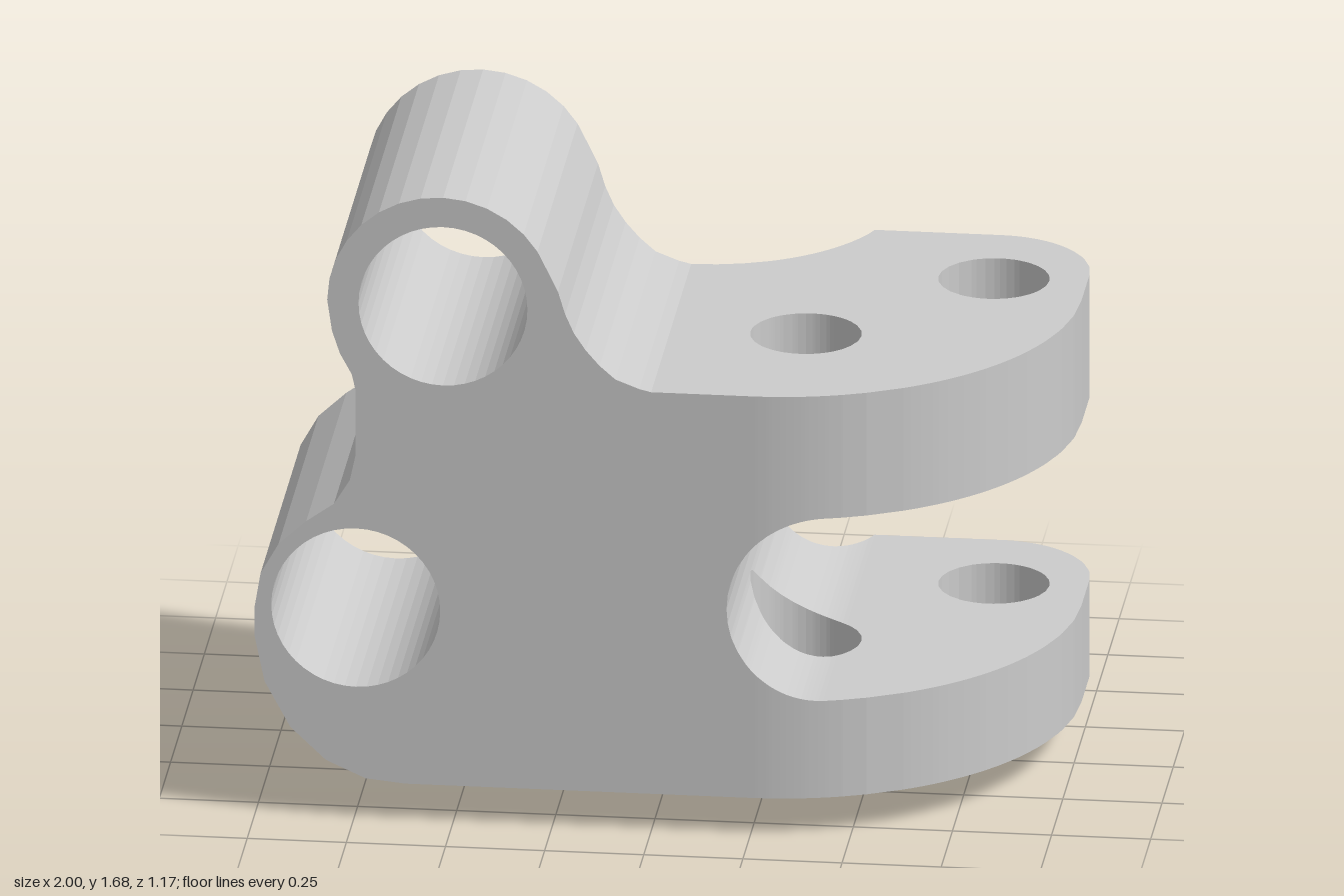
import * as THREE from 'three';

const material = new THREE.MeshStandardMaterial({ color: 0xcccccc, flatShading: true });
const MID = 0.605, SLOT_X = 0.435, SLOT_R = 0.245, BACK = -0.305, FRONT = 0.585;
const pins = [{ x: 0.34, z: 0.14, r: 0.14 }, { x: 0.765, z: -0.29, r: 0.14 }];

// half chord of a circle at distance d from its centre
const chord = (r, d) => Math.sqrt(Math.max(0, r * r - d * d));

// plan outline of the fork, as back and front z at a given x
function backZ(x) {
  if (x < 0.43) return Math.max(-0.59, -0.775 + chord(0.47, x));
  return x < 0.75 ? -0.59 : -0.34 - chord(0.25, x - 0.75);
}
const frontZ = x => x < 0.25 ? FRONT : -0.165 + chord(0.75, x - 0.25);
const slotHalf = x => x <= SLOT_X - SLOT_R ? 0 : x < SLOT_X ? chord(SLOT_R, x - SLOT_X) : SLOT_R;

// x positions where the fork is sliced, following each curve evenly
function stations() {
  const xs = [0, 0.43, 0.75, 1];
  const arc = (cx, r, a0, a1, n) => {
    for (let i = 0; i <= n; i++) xs.push(cx + r * Math.sin(a0 + (a1 - a0) * i / n));
  };
  const q = Math.PI / 2;
  arc(SLOT_X, SLOT_R, -q, 0, 10);
  pins.forEach(p => arc(p.x, p.r, -q, q, 12));
  arc(0.25, 0.75, 0, q, 12);
  arc(0.75, 0.25, 0, q, 6);
  arc(0, 0.47, 0, 1.1, 8);
  xs.sort((a, b) => a - b);
  return xs.filter((x, i) => i === 0 || x - xs[i - 1] > 1e-5);
}

// one arm of the fork, swept along x between two heights, with pin holes
function armGeometry(bottom, top, isUpper) {
  const pos = [];
  const quad = (a, b, c, d) => pos.push(...a, ...b, ...c, ...a, ...c, ...d);
  const piece = (x0, x1, lo, hi) => {
    const p = (x, y, z) => [x, y(x), z(x)];
    const solid = x1 <= SLOT_X - SLOT_R + 1e-4;
    if (isUpper || !solid) quad(p(x0, top, hi), p(x1, top, hi), p(x1, top, lo), p(x0, top, lo));
    if (!isUpper || !solid) quad(p(x0, bottom, lo), p(x1, bottom, lo), p(x1, bottom, hi), p(x0, bottom, hi));
    quad(p(x0, bottom, hi), p(x1, bottom, hi), p(x1, top, hi), p(x0, top, hi));
    quad(p(x0, top, lo), p(x1, top, lo), p(x1, bottom, lo), p(x0, bottom, lo));
  };
  const xs = stations();
  for (let i = 0; i < xs.length - 1; i++) {
    const x0 = xs[i], x1 = xs[i + 1], m = (x0 + x1) / 2;
    const pin = pins.find(h => Math.abs(m - h.x) < h.r);
    if (pin) {
      piece(x0, x1, backZ, x => pin.z - chord(pin.r, x - pin.x));
      piece(x0, x1, x => pin.z + chord(pin.r, x - pin.x), frontZ);
    } else piece(x0, x1, backZ, frontZ);
  }
  // flat end of the arm
  const b = bottom(1), t = top(1), zb = backZ(1), zf = frontZ(1);
  quad([1, b, zf], [1, b, zb], [1, t, zb], [1, t, zf]);
  const g = new THREE.BufferGeometry();
  g.setAttribute('position', new THREE.Float32BufferAttribute(pos, 3));
  g.computeVertexNormals();
  return g;
}

// block with two bored bosses
function blockGeometry() {
  const s = new THREE.Shape();
  s.moveTo(0, 0.1);
  s.lineTo(0, 1.18);
  [[-0.03, 1.187], [-0.09, 1.21], [-0.13, 1.245], [-0.165, 1.285], [-0.195, 1.33], [-0.217, 1.38],
    [-0.235, 1.44]].forEach(p => s.lineTo(...p));
  for (let i = 0; i <= 14; i++) {
    const a = 0.36 + (Math.PI - 0.36) * i / 14;
    s.lineTo(-0.53 + 0.287 * Math.cos(a), 1.393 + 0.287 * Math.sin(a));
  }
  [[-0.805, 1.31], [-0.785, 1.25], [-0.755, 1.195], [-0.745, 1.15], [-0.745, 0.98], [-0.76, 0.91],
    [-0.8, 0.845], [-0.87, 0.795], [-0.94, 0.73], [-0.985, 0.65], [-1, 0.56], [-1, 0.48], [-0.975, 0.36],
    [-0.91, 0.24], [-0.82, 0.155], [-0.72, 0.11], [-0.62, 0.1]].forEach(p => s.lineTo(...p));
  for (const [x, y] of [[-0.525, 1.388], [-0.745, 0.568]]) {
    s.holes.push(new THREE.Path().absarc(x, y, 0.213, 0, Math.PI * 2, true));
  }
  const g = new THREE.ExtrudeGeometry(s, { depth: FRONT - BACK, bevelEnabled: false, curveSegments: 24 });
  return g.translate(0, 0, BACK);
}

export function createModel() {
  const model = new THREE.Group();
  model.name = 'forkedBracket';
  const add = (name, geometry) => {
    const mesh = new THREE.Mesh(geometry, material);
    mesh.name = name;
    model.add(mesh);
    return mesh;
  };
  add('boredBlock', blockGeometry());
  add('upperArm', armGeometry(x => MID + slotHalf(x), () => 1.18, true));
  add('lowerArm', armGeometry(() => 0.1, x => MID - slotHalf(x), false));

  // slanted key bar under the lower arm
  const bar = add('keyBar', new THREE.BoxGeometry(0.595, 0.1, 0.055));
  bar.position.set(0.567, 0.05, -0.052);
  bar.rotation.y = Math.PI / 4;
  return model;
}
